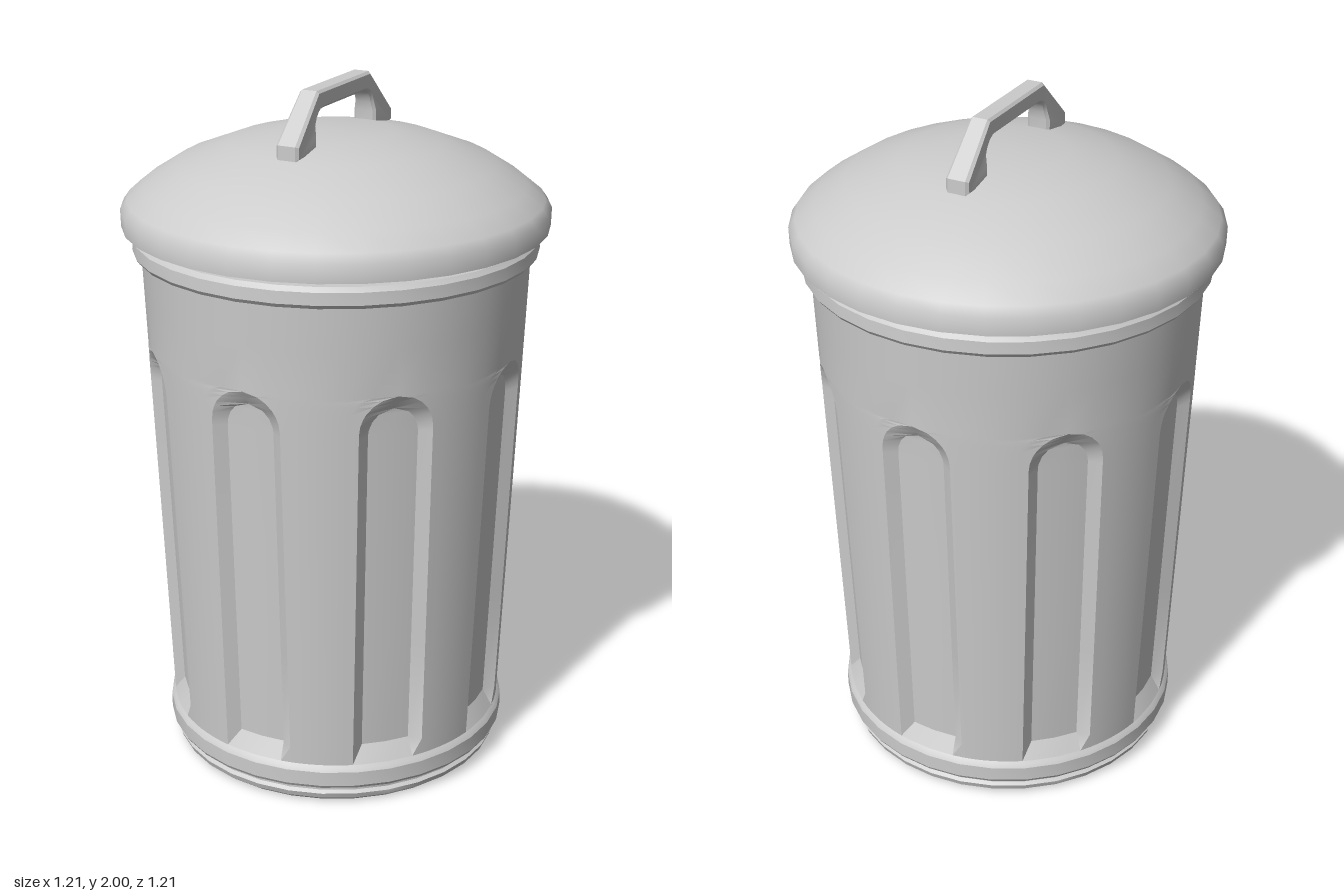
import * as THREE from 'three';
import { toCreasedNormals, mergeVertices } from 'three/addons/utils/BufferGeometryUtils.js';

const grey = new THREE.MeshStandardMaterial({ color: 0xcccccc });
const SECTORS = 8;

function part(name, geometry) {
  const mesh = new THREE.Mesh(geometry, grey);
  mesh.name = name;
  return mesh;
}

// Revolved profile, listed upwards along the outside
function lathe(name, profile, crease) {
  const points = profile.map(([r, y]) => new THREE.Vector2(r, y));
  return part(name, toCreasedNormals(new THREE.LatheGeometry(points, 32), crease));
}

// Half width of an upright slot that ends in a round arch
function archWidth(y, radius, springY) {
  const t = Math.max(0, (y - springY) / radius);
  return t >= 0.9999 ? 0 : radius * Math.sqrt(1 - t * t);
}

// Tapered wall with arched, bevelled recesses pressed into it
function wallGeometry() {
  const base = 0.13, floorStart = 0.18, innerTop = 1.225, outerTop = 1.27, depth = 0.03;
  const rows = [base, floorStart, 0.5, 0.85, 1.15, 1.165, 1.19, 1.21, innerTop, 1.245, 1.26, outerTop, 1.4, 1.525];
  const half = Math.PI / SECTORS;
  const positions = [], index = [];
  const columns = SECTORS * 10;

  for (const y of rows) {
    const radius = 0.497 + (y - base) * 0.038;
    const outer = archWidth(y, 0.105, 1.165) / radius;
    const inner = archWidth(y, 0.075, 1.15) / radius;
    let d = depth;
    if (y <= base || y >= outerTop) d = 0;
    else if (y > innerTop) d = depth * (outerTop - y) / (outerTop - innerTop);

    // Half a sector: recess centre, floor edge, bevel edge, plain wall
    const steps = [[0, d], [inner, d], [outer, 0]];
    for (let k = 1; k <= 3; k++) steps.push([outer + (half - outer) * k / 3, 0]);
    const sector = [
      ...steps.slice(1).reverse().map(([a, s]) => [-a, s]),
      ...steps.slice(0, -1),
    ];
    for (let s = 0; s < SECTORS; s++) {
      for (const [a, sink] of sector) {
        const angle = s * 2 * half + a;
        positions.push(Math.sin(angle) * (radius - sink), y, Math.cos(angle) * (radius - sink));
      }
    }
  }

  const corner = (i) => new THREE.Vector3().fromArray(positions, i * 3);
  const face = (a, b, c) => {
    const area = new THREE.Triangle(corner(a), corner(b), corner(c)).getArea();
    if (area > 1e-8) index.push(a, b, c);
  };
  for (let r = 0; r < rows.length - 1; r++) {
    for (let c = 0; c < columns; c++) {
      const next = (c + 1) % columns;
      const a = r * columns + c, b = r * columns + next;
      face(a, b, b + columns);
      face(a, b + columns, a + columns);
    }
  }
  const geometry = new THREE.BufferGeometry();
  geometry.setAttribute('position', new THREE.Float32BufferAttribute(positions, 3));
  geometry.setIndex(index);
  return toCreasedNormals(mergeVertices(geometry), 0.45);
}

// Bracket-shaped handle with slightly wider feet
function handleGeometry() {
  const bevel = 0.007;
  const shape = new THREE.Shape();
  const e = 0.285 - bevel, t = 2 - bevel;
  shape.moveTo(-e, 1.842);
  shape.lineTo(-0.175 - bevel, 1.842);
  shape.lineTo(-0.175 - bevel, 1.885);
  shape.quadraticCurveTo(-0.175, 1.95 + bevel, -0.12, 1.95 + bevel);
  shape.lineTo(0.12, 1.95 + bevel);
  shape.quadraticCurveTo(0.175, 1.95 + bevel, 0.175 + bevel, 1.885);
  shape.lineTo(0.175 + bevel, 1.842);
  shape.lineTo(e, 1.842);
  shape.lineTo(e, 1.872);
  shape.lineTo(0.153, t);
  shape.lineTo(-0.153, t);
  shape.lineTo(-e, 1.872);
  shape.closePath();
  const width = 0.058 - 2 * bevel;
  const geometry = new THREE.ExtrudeGeometry(shape, {
    depth: width, bevelThickness: bevel, bevelSize: bevel, bevelSegments: 1, curveSegments: 5,
  });
  geometry.translate(0, 0, -width / 2).rotateY(Math.PI / 2);
  const p = geometry.attributes.position;
  for (let i = 0; i < p.count; i++) {
    if (p.getY(i) < 1.9) p.setX(i, p.getX(i) * 1.18);
  }
  return toCreasedNormals(geometry, 0.5);
}

export function createModel() {
  const model = new THREE.Group();
  model.name = 'trashCan';

  // Foot with a groove under the bottom band
  model.add(lathe('base', [
    [0, 0], [0.47, 0], [0.488, 0.015], [0.494, 0.032], [0.485, 0.04], [0.485, 0.05],
    [0.503, 0.058], [0.509, 0.068], [0.509, 0.112], [0.503, 0.122], [0.495, 0.13],
  ], 0.45));

  model.add(part('flutedWall', wallGeometry()));

  // Rolled rim continuing into the inside of the can
  model.add(lathe('rimAndInside', [
    [0.548, 1.522], [0.566, 1.527], [0.574, 1.538], [0.572, 1.572], [0.562, 1.585],
    [0.535, 1.585], [0.52, 1.55], [0.495, 1.2], [0.452, 0.1], [0, 0.1],
  ], 0.45));

  // Domed lid with a hollow underside
  model.add(lathe('lid', [
    [0, 1.82], [0.16, 1.815], [0.3, 1.79], [0.43, 1.735], [0.52, 1.675], [0.565, 1.63],
    [0.575, 1.605], [0.602, 1.605], [0.603, 1.655], [0.585, 1.68], [0.535, 1.72],
    [0.445, 1.777], [0.3, 1.833], [0.165, 1.86], [0, 1.863],
  ], 0.8));

  model.add(part('lidHandle', handleGeometry()));
  return model;
}
